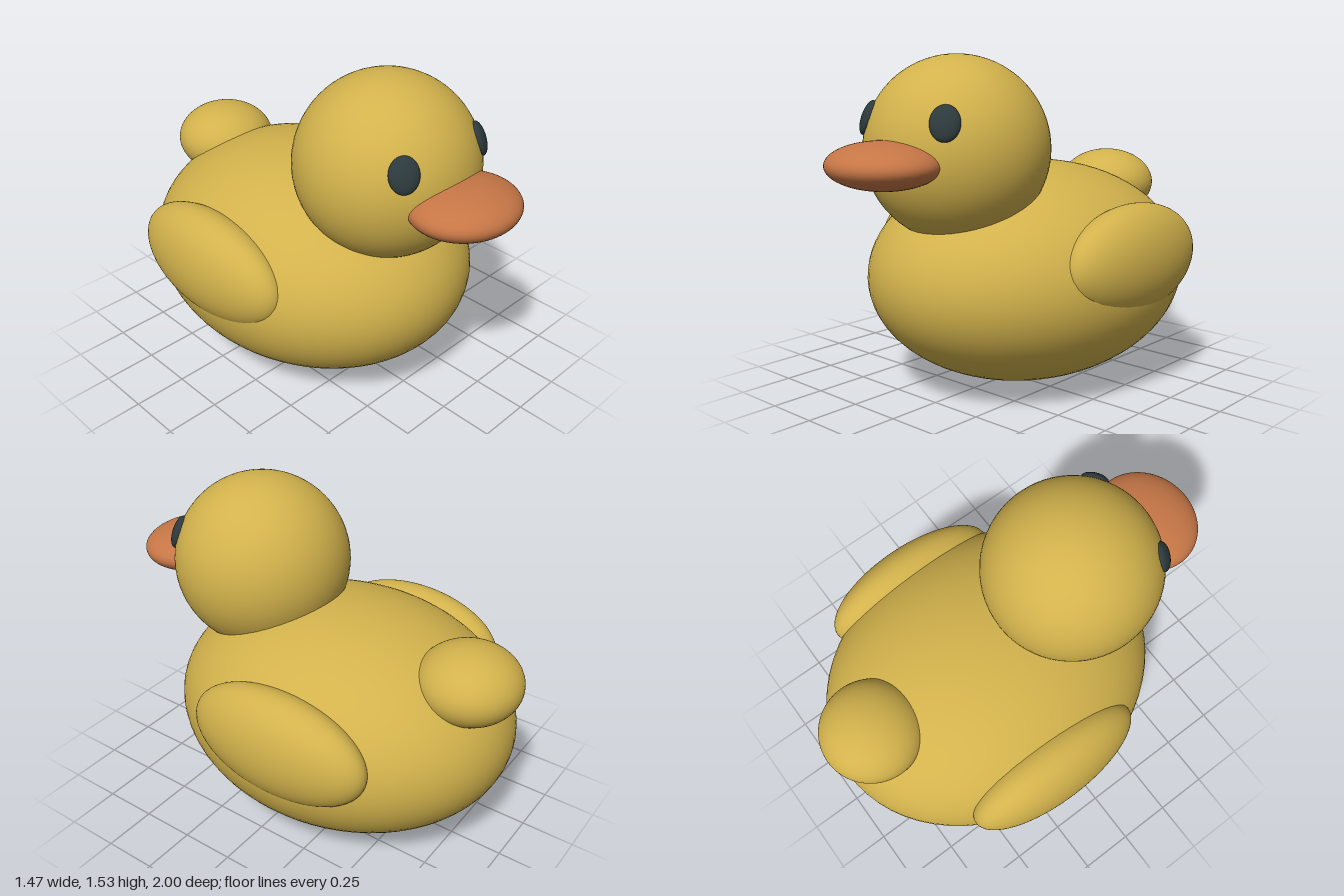
import * as THREE from 'three';

function material(name, color) {
  const m = new THREE.MeshStandardMaterial({ color });
  m.name = name;
  return m;
}

export function createModel() {
  const model = new THREE.Group();
  model.name = 'duck';

  const yellow = material('yellow', 0xd2b24c);
  const orange = material('orange', 0xc67646);
  const dark = material('dark slate', 0x2d3a3d);

  // Smooth ellipsoid from a centre and three radii
  const sphere = new THREE.SphereGeometry(1, 64, 40);
  function ellipsoid(name, mat, centre, radii) {
    const mesh = new THREE.Mesh(sphere, mat);
    mesh.name = name;
    mesh.position.set(...centre);
    mesh.scale.set(...radii);
    model.add(mesh);
    return mesh;
  }

  const headCentre = new THREE.Vector3(0, 1.125, 0.345);
  const headRadius = 0.41;

  ellipsoid('body', yellow, [0, 0.517, -0.135], [0.69, 0.515, 0.825]);
  ellipsoid('head', yellow, headCentre.toArray(), [headRadius, headRadius, headRadius]);
  ellipsoid('tail', yellow, [0, 0.865, -0.765], [0.237, 0.17, 0.235]);
  ellipsoid('beak', orange, [0, 1.09, 0.77], [0.256, 0.101, 0.228]);

  // Mirrored wings and eyes
  for (const side of [1, -1]) {
    const label = side > 0 ? 'left' : 'right';
    ellipsoid(label + 'Wing', yellow, [side * 0.572, 0.63, -0.175], [0.165, 0.25, 0.445]);

    // Flat oval eye facing straight out of the head
    const outward = new THREE.Vector3(side * 0.24, 0.145, 0.31).normalize();
    const centre = headCentre.clone().addScaledVector(outward, headRadius - 0.004);
    const eye = ellipsoid(label + 'Eye', dark, centre.toArray(), [0.064, 0.078, 0.03]);
    eye.lookAt(centre.clone().add(outward));
  }

  return model;
}
